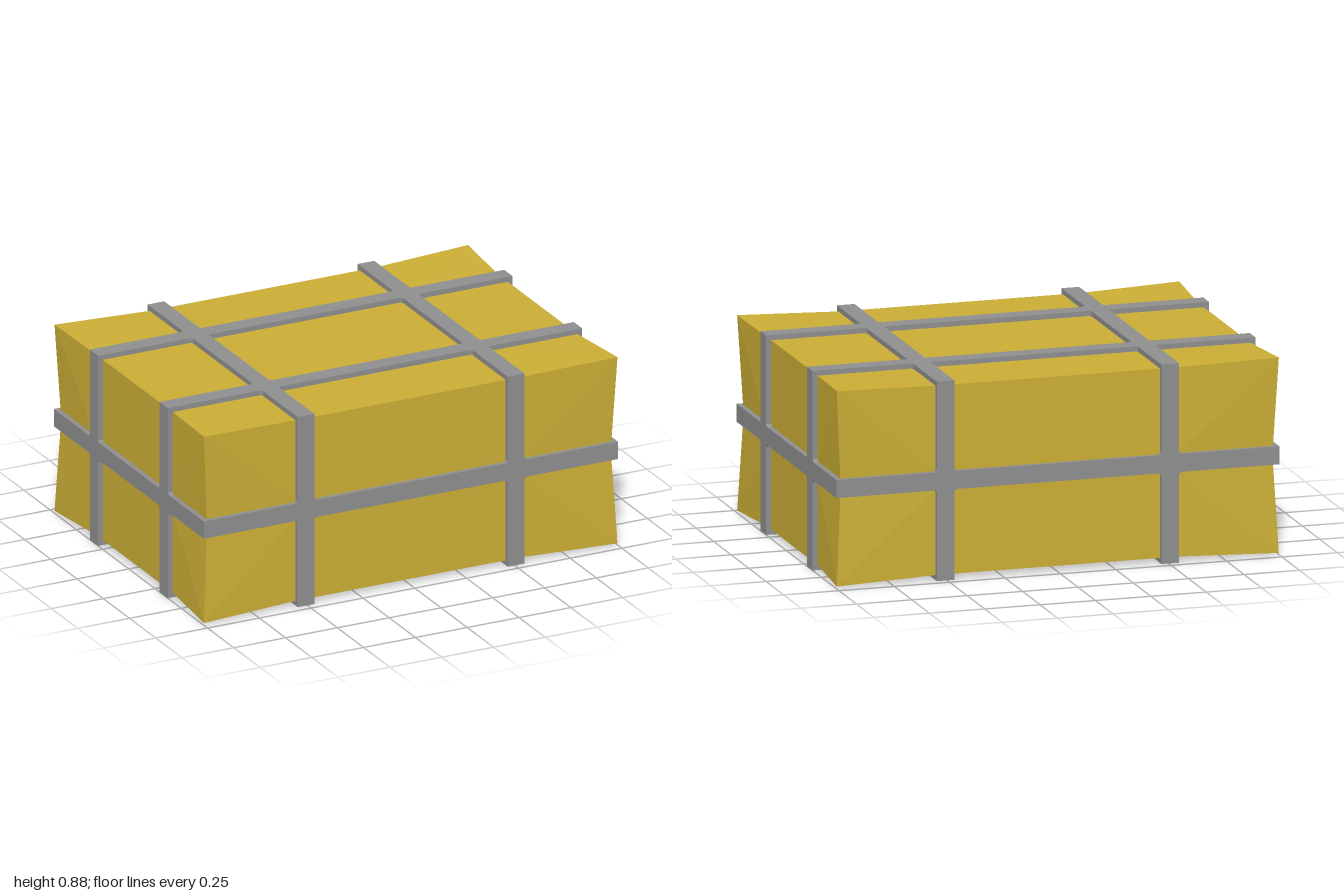
import * as THREE from 'three';

const HALF = [1, 0.4425, 0.715];        // outer reach of the straps
const FACE = [0.977, 0.42, 0.695];      // flat walls of the crate
const CORNER = [0.998, 0.4335, 0.712];  // flared crate corners
const INNER = [0.547, 0.04, 0.372];     // outer strap edges, where the flare starts
const STRAP = 0.08;
const STRAP_X = 0.507, STRAP_Z = 0.332;

// Crate: each wall is a 3 x 3 grid whose corner points are pulled outward
function crateGeometry() {
  const pos = [];
  const level = (axis, i) => [-FACE[axis], -INNER[axis], INNER[axis], FACE[axis]][i];
  for (let axis = 0; axis < 3; axis++) {
    const u = (axis + 1) % 3, v = (axis + 2) % 3;
    for (const side of [-1, 1]) {
      const point = (i, j) => {
        const p = [0, 0, 0];
        p[axis] = side * FACE[axis];
        p[u] = level(u, i);
        p[v] = level(v, j);
        const isCorner = i % 3 === 0 && j % 3 === 0;
        return isCorner ? p.map((c, k) => Math.sign(c) * CORNER[k]) : p;
      };
      const tri = (a, b, c) => pos.push(...a, ...(side > 0 ? b : c), ...(side > 0 ? c : b));
      for (let i = 0; i < 3; i++) for (let j = 0; j < 3; j++) {
        const a = point(i, j), b = point(i + 1, j), c = point(i + 1, j + 1), d = point(i, j + 1);
        // the fold always runs from the flared corner inward
        if (i === j) { tri(a, b, c); tri(a, c, d); }
        else { tri(a, b, d); tri(b, c, d); }
      }
    }
  }
  const g = new THREE.BufferGeometry();
  g.setAttribute('position', new THREE.Float32BufferAttribute(pos, 3));
  g.computeVertexNormals();
  return g;
}

function rectangle(path, w, h) {
  path.moveTo(-w, -h);
  path.lineTo(w, -h);
  path.lineTo(w, h);
  path.lineTo(-w, h);
  path.closePath();
  return path;
}

// Closed rectangular band lying in the xy plane
function bandGeometry(w, h) {
  const shape = rectangle(new THREE.Shape(), w, h);
  shape.holes.push(rectangle(new THREE.Path(), w - 0.05, h - 0.05));
  const g = new THREE.ExtrudeGeometry(shape, { depth: STRAP, bevelEnabled: false });
  return g.translate(0, 0, -STRAP / 2);
}

// Octagonal plate that fills the small fillets where two straps cross
function crossingGeometry() {
  const h = STRAP / 2, e = h + 0.01;
  const pts = [[e, -h], [e, h], [h, e], [-h, e], [-e, h], [-e, -h], [-h, -e], [h, -e]];
  const shape = new THREE.Shape(pts.map(([x, y]) => new THREE.Vector2(x, y)));
  const g = new THREE.ExtrudeGeometry(shape, { depth: 0.05, bevelEnabled: false });
  return g.translate(0, 0, -0.0505);
}

export function createModel() {
  const model = new THREE.Group();
  const yellow = new THREE.MeshStandardMaterial({ color: 0xcaad35 });
  yellow.name = 'crate yellow';
  yellow.flatShading = true;
  const grey = new THREE.MeshStandardMaterial({ color: 0x8e8e8e });
  grey.name = 'strap grey';
  const add = (name, geometry, material, x = 0, y = 0, z = 0, rx = 0, ry = 0) => {
    const mesh = new THREE.Mesh(geometry, material);
    mesh.name = name;
    mesh.position.set(x, y + HALF[1], z);
    mesh.rotation.set(rx, ry, 0);
    model.add(mesh);
  };

  add('crate', crateGeometry(), yellow);

  // Straps: one belt around the middle and two bands in each upright direction
  add('belt', bandGeometry(HALF[0], HALF[2]), grey, 0, 0, 0, Math.PI / 2);
  const crossBand = bandGeometry(HALF[2], HALF[1]);
  const longBand = bandGeometry(HALF[0], HALF[1]);
  for (const s of [-1, 1]) {
    add('crossBand', crossBand, grey, s * STRAP_X, 0, 0, 0, Math.PI / 2);
    add('longBand', longBand, grey, 0, 0, s * STRAP_Z);
  }

  // Crossings on the walls, top and bottom
  const knot = crossingGeometry();
  for (const s of [-1, 1]) for (const t of [-1, 1]) {
    add('wallCrossing', knot, grey, s * STRAP_X, 0, t * HALF[2], 0, t > 0 ? 0 : Math.PI);
    add('endCrossing', knot, grey, t * HALF[0], 0, s * STRAP_Z, 0, t * Math.PI / 2);
    for (const up of [-1, 1])
      add('lidCrossing', knot, grey, s * STRAP_X, up * HALF[1], t * STRAP_Z, -up * Math.PI / 2);
  }
  return model;
}
